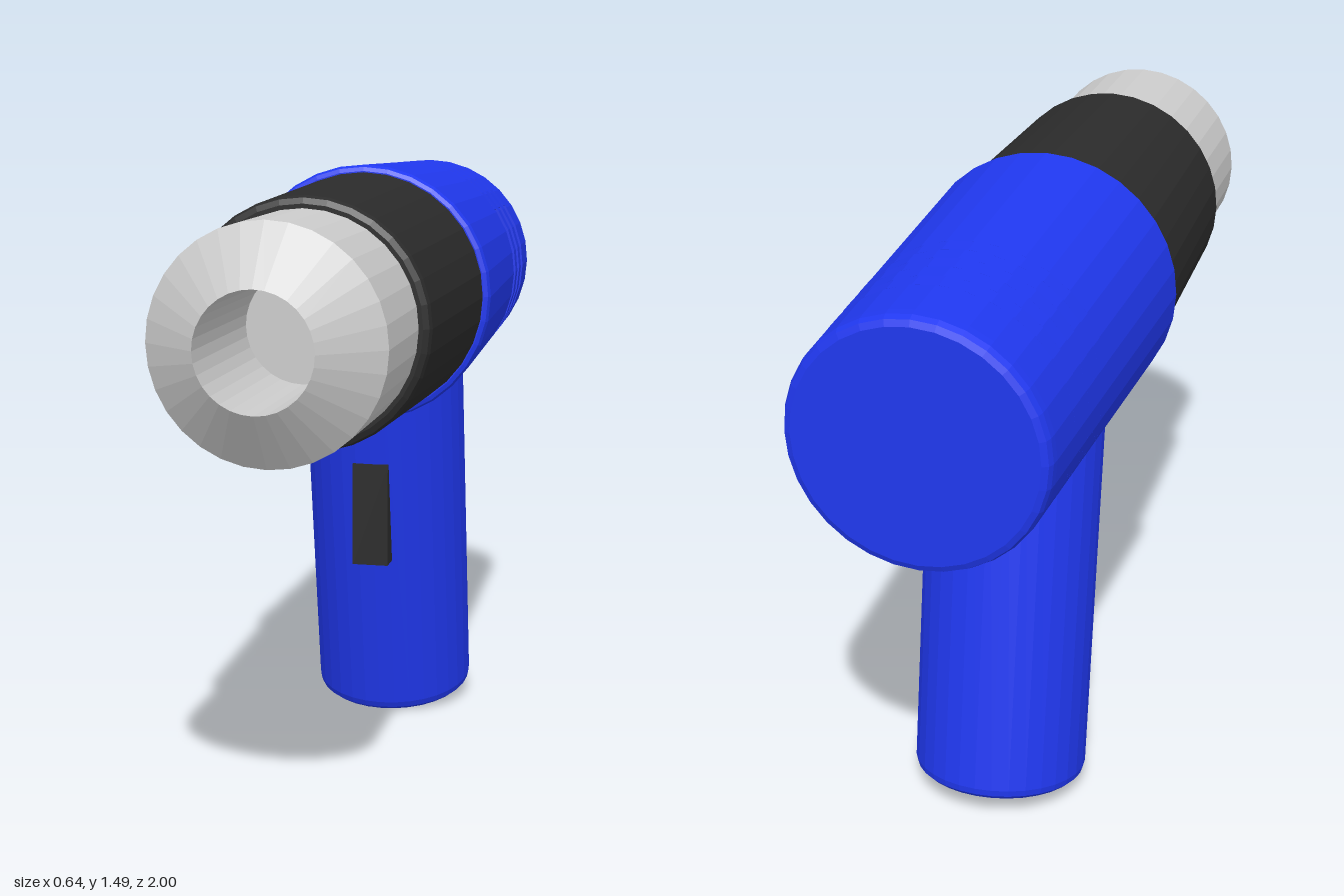
import * as THREE from 'three';

const AXIS_Y = 1.175;
const SEGMENTS = 32;
const WALL = 0.03;
const SLOT_HALF_ANGLE = 0.617;

const blue = new THREE.MeshStandardMaterial({ color: 0x2038f0, flatShading: true, side: THREE.DoubleSide });
const black = new THREE.MeshStandardMaterial({ color: 0x2b2b2b, flatShading: true });
const grey = new THREE.MeshStandardMaterial({ color: 0xcccccc, flatShading: true });

function addMesh(parent, name, geometry, material) {
  const mesh = new THREE.Mesh(geometry, material);
  mesh.name = name;
  parent.add(mesh);
  return mesh;
}

// Profile points are [radius, z]; the lathe axis is laid along z.
function turned(points, segments = SEGMENTS, start = 0, length = Math.PI * 2) {
  const profile = points.map(([r, z]) => new THREE.Vector2(r, z));
  return new THREE.LatheGeometry(profile, segments, start, length).rotateX(Math.PI / 2);
}

// Outer radius of the tapering motor housing
const housingRadius = (z) => 0.322 + (z + 0.04) * 0.035;

// Closed wall section of the housing between two stations
function wallSection(z0, z1) {
  const a = housingRadius(z0), b = housingRadius(z1);
  return [[a, z0], [b, z1], [b - WALL, z1], [a - WALL, z0], [a, z0]];
}

function createHousing() {
  const housing = new THREE.Group();
  housing.name = 'motorHousing';

  // Closed rear end with a rounded rim
  const rear = 0.288;
  addMesh(housing, 'rearCap', turned([
    [0, -1], [rear - 0.02, -1], [rear - 0.006, -0.994], [rear, -0.98],
    [housingRadius(-0.96), -0.96], [rear - WALL, -0.96], [0, -0.96],
  ]), blue);

  // Solid rings alternate with rings left open on the +x side
  const slots = [[-0.84, -0.793], [-0.745, -0.698], [-0.652, -0.605]];
  const start = Math.PI / 2 + SLOT_HALF_ANGLE;
  const length = Math.PI * 2 - 2 * SLOT_HALF_ANGLE;
  let z = -0.96;
  for (const [z0, z1] of slots) {
    addMesh(housing, 'housingRing', turned(wallSection(z, z0)), blue);
    const section = wallSection(z0, z1);
    addMesh(housing, 'ventRing', turned(section, 26, start, length), blue);
    // End walls of the vent
    const shape = new THREE.Shape(section.map(([r, h]) => new THREE.Vector2(r, h)));
    for (const side of [-1, 1]) {
      const end = new THREE.ShapeGeometry(shape);
      end.rotateY(side * SLOT_HALF_ANGLE).rotateX(Math.PI / 2);
      addMesh(housing, 'ventEnd', end, blue);
    }
    z = z1;
  }

  // Front part of the housing with a rounded lip
  const front = housingRadius(-0.04);
  addMesh(housing, 'housingFront', turned([
    [housingRadius(z), z], [front, -0.056], [front - 0.005, -0.044], [front - 0.015, -0.04],
    [0, -0.04], [0, -0.08], [front - WALL, -0.08], [housingRadius(z) - WALL, z], [housingRadius(z), z],
  ]), blue);
  return housing;
}

export function createModel() {
  const model = new THREE.Group();
  model.name = 'heatGun';

  const barrel = new THREE.Group();
  barrel.name = 'barrel';
  barrel.position.y = AXIS_Y;
  model.add(barrel);
  barrel.add(createHousing());

  // Dark heat shield
  addMesh(barrel, 'heatShield', turned([
    [0, -0.06], [0.305, -0.06], [0.304, -0.04], [0.288, 0.562],
    [0.283, 0.574], [0.27, 0.58], [0, 0.58],
  ]), black);

  // Metal nozzle with a chamfered mouth and a straight bore
  addMesh(barrel, 'nozzle', turned([
    [0.26, 0.56], [0.26, 0.9], [0.129, 1], [0.129, 0.59], [0, 0.59],
  ]), grey);

  // Handle: a leaning cylinder with a rounded foot
  const handle = addMesh(model, 'handle', new THREE.LatheGeometry([
    [0, 0], [0.18, 0], [0.195, 0.004], [0.206, 0.014], [0.21, 0.03], [0.21, 0.97], [0, 0.97],
  ].map(([r, y]) => new THREE.Vector2(r, y)), SEGMENTS), blue);
  handle.position.set(0, 0.037, -0.468);
  handle.rotation.x = THREE.MathUtils.degToRad(10.4);

  // Trigger set into the front of the handle
  const trigger = addMesh(model, 'trigger', new THREE.BoxGeometry(0.094, 0.27, 0.14), black);
  trigger.position.set(0, 0.585, -0.195);

  return model;
}
